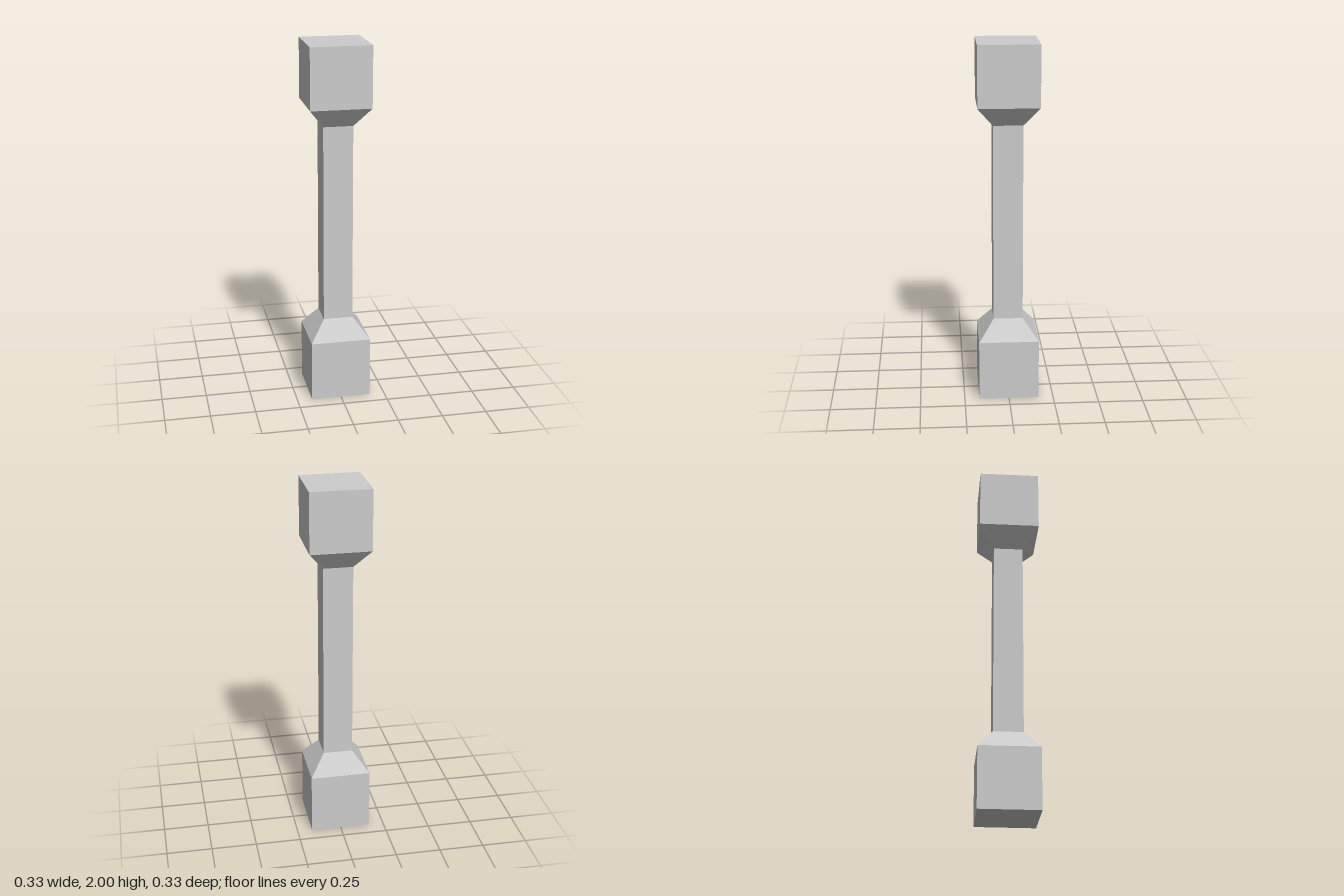
import * as THREE from 'three';

const BLOCK = 0.167;  // half width of the end blocks
const SHAFT = 0.082;  // half width of the shaft

const material = new THREE.MeshStandardMaterial({ color: 0xcccccc, flatShading: true });

// Square-section part from [half width, height] pairs, listed bottom to top
function squarePart(name, profile) {
  const points = profile.map(([half, y]) => new THREE.Vector2(half * Math.SQRT2, y));
  const geometry = new THREE.LatheGeometry(points, 4, Math.PI / 4).toNonIndexed();
  geometry.computeVertexNormals();
  const mesh = new THREE.Mesh(geometry, material);
  mesh.name = name;
  return mesh;
}

export function createModel() {
  const group = new THREE.Group();
  group.name = 'pillar';
  group.add(
    // Base block and the slope up to the shaft
    squarePart('baseBlock', [[0, 0], [BLOCK, 0], [BLOCK, 0.34]]),
    squarePart('baseTaper', [[BLOCK, 0.34], [SHAFT, 0.45]]),
    // Slender shaft
    squarePart('shaft', [[SHAFT, 0.45], [SHAFT, 1.556]]),
    // Slope out to the top block
    squarePart('capitalTaper', [[SHAFT, 1.556], [BLOCK, 1.665]]),
    squarePart('capitalBlock', [[BLOCK, 1.665], [BLOCK, 2], [0, 2]])
  );
  return group;
}
